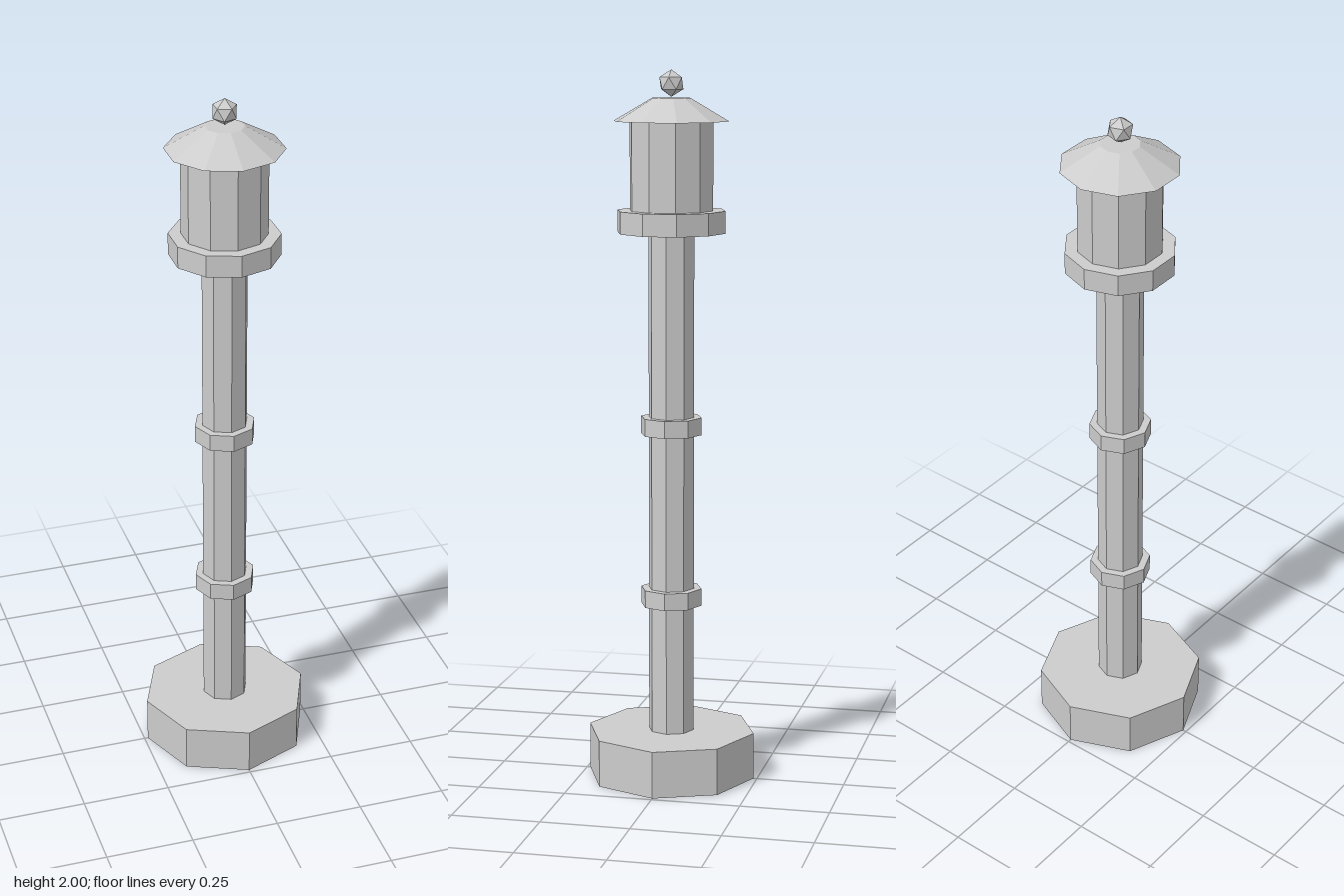
import * as THREE from 'three';
import { ConvexGeometry } from 'three/addons/geometries/ConvexGeometry.js';

export function createModel() {
  const group = new THREE.Group();
  const stone = new THREE.MeshStandardMaterial({ color: 0xcccccc });
  stone.name = 'paleGrey';

  const add = (name, geometry, y) => {
    const mesh = new THREE.Mesh(geometry, stone);
    mesh.name = name;
    mesh.position.y = y;
    group.add(mesh);
  };

  // Faceted prism between two heights
  const prism = (name, sides, y0, y1, rBottom, rTop = rBottom) => {
    const faceted = new THREE.CylinderGeometry(rTop, rBottom, y1 - y0, sides).toNonIndexed();
    faceted.computeVertexNormals();
    add(name, faceted, (y0 + y1) / 2);
  };

  // Eight-sided foot, shaft and collars
  prism('base', 8, 0, 0.133, 0.24);
  prism('shaft', 8, 0.133, 1.553, 0.065);
  prism('lowerCollar', 8, 0.498, 0.547, 0.087);
  prism('upperCollar', 8, 0.988, 1.037, 0.087);

  // Ten-sided lamp head
  prism('platform', 10, 1.553, 1.615, 0.153);
  prism('lanternBody', 10, 1.615, 1.86, 0.118);
  prism('roof', 10, 1.86, 1.923, 0.163, 0.054);

  // Icosahedral finial standing on one vertex
  const r = 0.037;
  const points = [new THREE.Vector3(0, r, 0), new THREE.Vector3(0, -r, 0)];
  for (let i = 0; i < 10; i++) {
    const a = (i * Math.PI) / 5;
    const h = i % 2 === 0 ? 1 : -1;
    points.push(new THREE.Vector3(Math.cos(a) * 0.894 * r, h * 0.447 * r, Math.sin(a) * 0.894 * r));
  }
  add('finial', new ConvexGeometry(points), 2 - r);

  return group;
}
